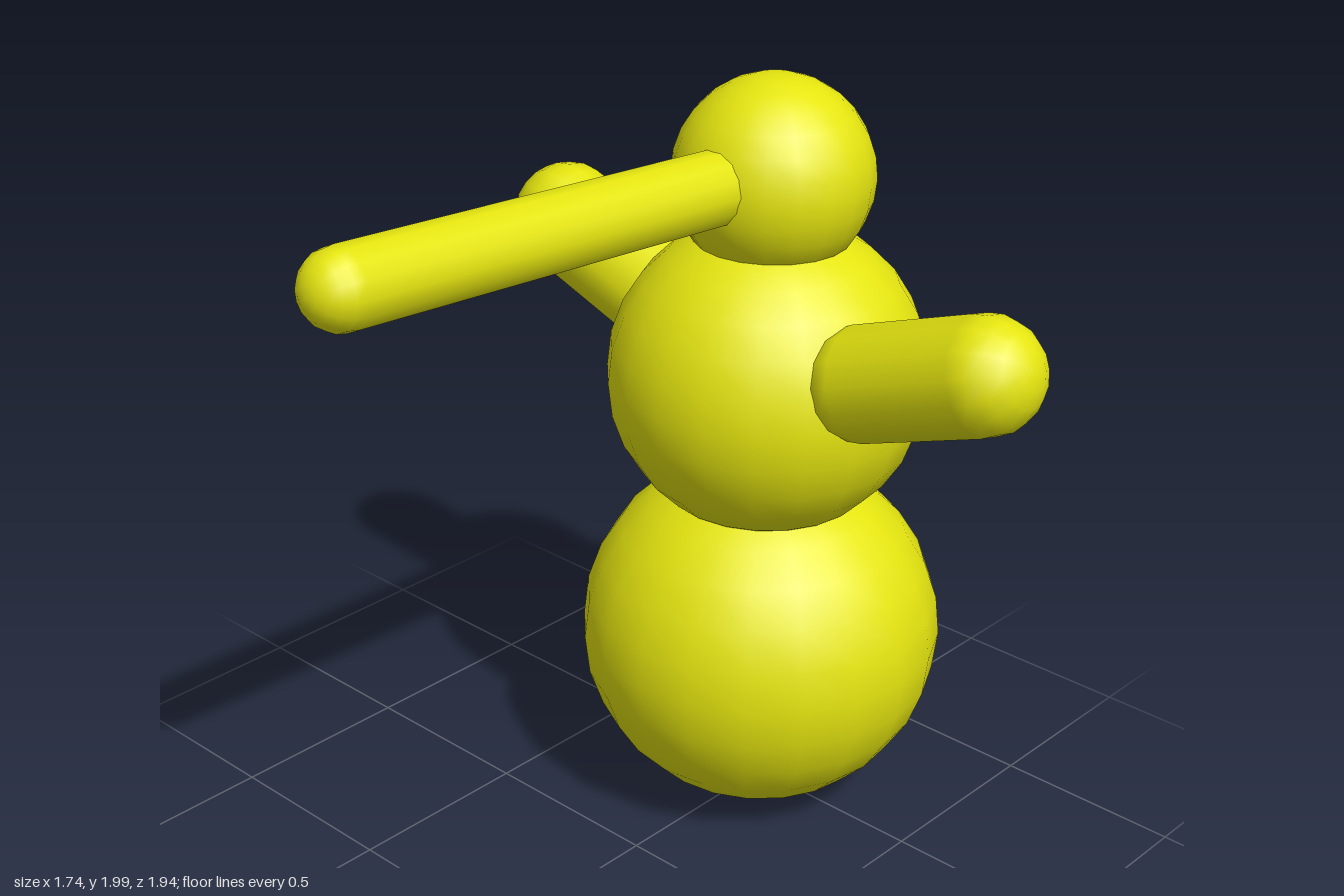
import * as THREE from 'three';

const material = new THREE.MeshStandardMaterial({ color: 0xe5e510 });

function ball(name, radius, x, y, z) {
  const mesh = new THREE.Mesh(new THREE.SphereGeometry(radius, 20, 14), material);
  mesh.name = name;
  mesh.position.set(x, y, z);
  return mesh;
}

// Round-ended rod between two cap centres
function rod(name, radius, from, to) {
  const a = new THREE.Vector3(...from);
  const b = new THREE.Vector3(...to);
  const dir = b.clone().sub(a);
  const mesh = new THREE.Mesh(new THREE.CapsuleGeometry(radius, dir.length(), 5, 14), material);
  mesh.name = name;
  mesh.position.copy(a).add(b).multiplyScalar(0.5);
  mesh.quaternion.setFromUnitVectors(new THREE.Vector3(0, 1, 0), dir.normalize());
  return mesh;
}

export function createModel() {
  const group = new THREE.Group();
  group.name = 'snowman';

  // Three stacked snowballs
  group.add(
    ball('base', 0.479, -0.007, 0.485, -0.493),
    ball('torso', 0.414, -0.005, 1.22, -0.493),
    ball('head', 0.255, -0.008, 1.745, -0.498)
  );

  // Raised stubby arms, the left one set a little further forward
  group.add(
    rod('leftArm', 0.147, [0.38, 1.336, -0.4], [0.72, 1.46, -0.4]),
    rod('rightArm', 0.147, [-0.38, 1.336, -0.5], [-0.725, 1.46, -0.5])
  );

  // Very long nose, tilted slightly upwards
  group.add(rod('nose', 0.094, [-0.006, 1.757, -0.42], [-0.006, 1.843, 0.876]));

  return group;
}
